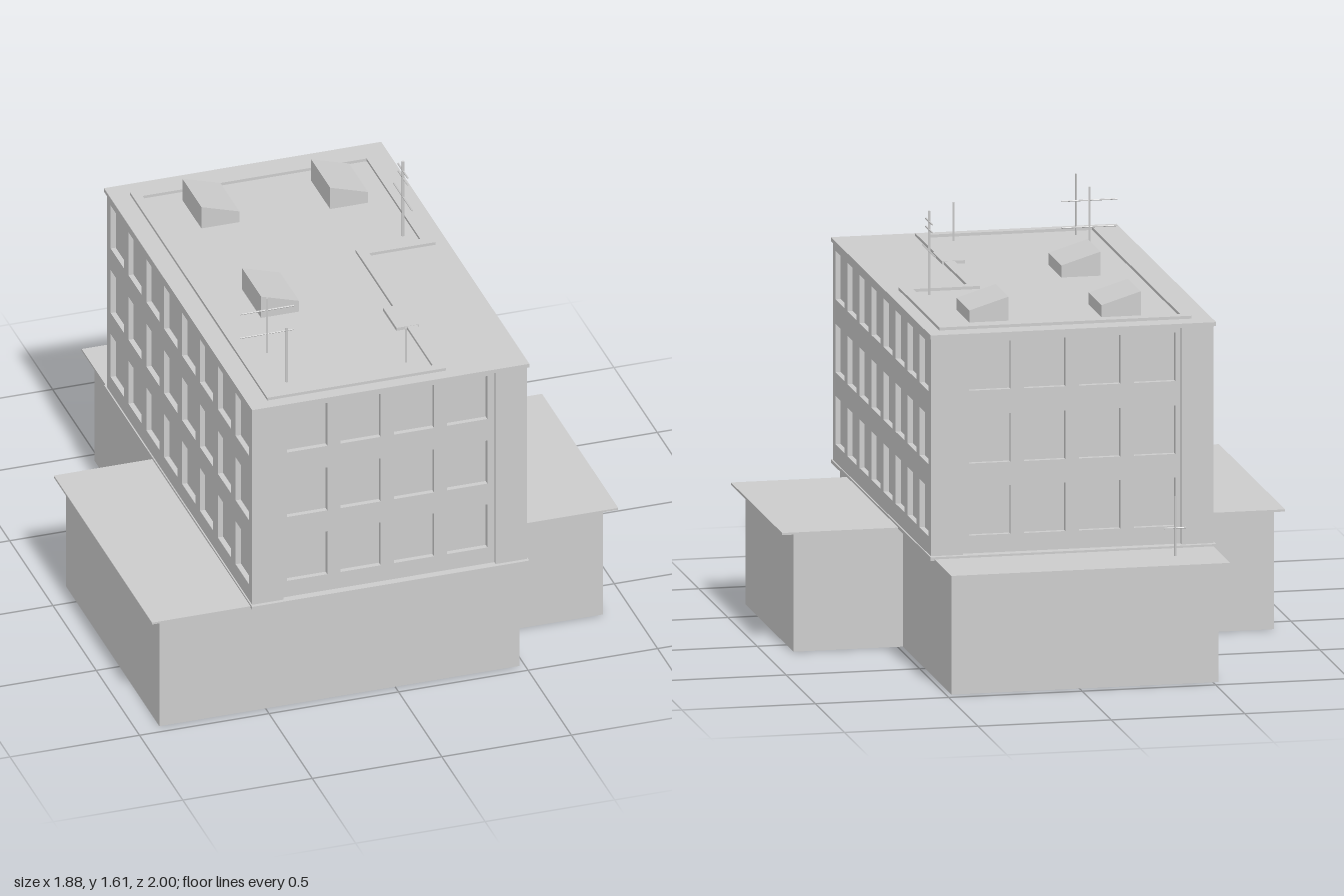
import * as THREE from 'three';

const mat = new THREE.MeshStandardMaterial({ color: 0xcccccc, flatShading: true });
const ROOF = 1.295, DECK = 0.455;

export function createModel() {
  const root = new THREE.Group();

  const add = (name, geometry) => {
    const mesh = new THREE.Mesh(geometry, mat);
    mesh.name = name;
    root.add(mesh);
    return mesh;
  };
  // Box given by its extents
  const box = (name, x0, x1, y0, y1, z0, z1) => {
    const m = add(name, new THREE.BoxGeometry(x1 - x0, y1 - y0, z1 - z0));
    m.position.set((x0 + x1) / 2, (y0 + y1) / 2, (z0 + z1) / 2);
    return m;
  };
  // Plan outline of [x, z] points raised from y0 to y1
  const flip = (pts) => pts.map(([x, z]) => new THREE.Vector2(x, -z));
  const slab = (name, pts, y0, y1, hole) => {
    const shape = new THREE.Shape(flip(pts));
    if (hole) shape.holes.push(new THREE.Path(flip(hole)));
    const g = new THREE.ExtrudeGeometry(shape, { depth: y1 - y0, bevelEnabled: false });
    return add(name, g.rotateX(-Math.PI / 2).translate(0, y0, 0));
  };

  // Podium with two side wings and a back wing
  slab('podiumWalls', [
    [-0.91, 0.96], [0.48, 0.96], [0.48, 0.7], [0.89, 0.7], [0.89, -0.12], [0.48, -0.12],
    [0.48, -0.955], [-0.52, -0.955], [-0.52, -0.12], [-0.91, -0.12]], 0, 0.447);
  slab('podiumRoof', [
    [-0.945, 0.98], [0.49, 0.98], [0.49, 0.725], [0.94, 0.725], [0.94, -0.155], [0.49, -0.155],
    [0.49, -1], [-0.555, -1], [-0.555, -0.155], [-0.945, -0.155]], 0.447, DECK);

  // Tower core, base course and cornice
  box('towerCore', -0.54, 0.48, DECK, 1.28, -0.655, 0.95);
  box('baseCourse', -0.565, 0.505, 0.45, 0.463, -0.712, 1);
  box('cornice', -0.565, 0.505, 1.28, ROOF, -0.712, 1);

  // Window walls: a panel with a grid of openings in front of the core
  const rows = [0.53, 0.8, 1.073];
  const windowWall = (name, u0, u1, first, pitch, count, width) => {
    const rect = (a, b, c, d) => [[a, c], [b, c], [b, d], [a, d]].map((p) => new THREE.Vector2(...p));
    const shape = new THREE.Shape(rect(u0, u1, DECK, 1.282));
    for (const y of rows) {
      for (let i = 0; i < count; i++) {
        const a = first + i * pitch;
        shape.holes.push(new THREE.Path(rect(a, a + width, y, y + 0.182)));
      }
    }
    return add(name, new THREE.ExtrudeGeometry(shape, { depth: 0.02, bevelEnabled: false }));
  };
  windowWall('frontWall', -0.44, 0.38, -0.42, 0.206, 4, 0.155).position.z = 0.95;
  const back = windowWall('backWall', -0.38, 0.44, -0.353, 0.206, 4, 0.155);
  back.rotation.y = Math.PI;
  back.position.z = -0.655;
  const sideA = windowWall('leftWall', -0.985, 0.692, -0.947, 0.2063, 8, 0.153);
  sideA.rotation.y = Math.PI / 2;
  sideA.position.x = 0.48;
  const sideB = windowWall('rightWall', -0.692, 0.985, -0.65, 0.2063, 8, 0.153);
  sideB.rotation.y = -Math.PI / 2;
  sideB.position.x = -0.54;

  // Plain corner piers beside the front and back window walls
  for (const [x0, x1] of [[-0.54, -0.44], [0.38, 0.48]]) {
    box('frontPier', x0, x1, DECK, 1.282, 0.95, 0.985);
    box('backPier', x0, x1, DECK, 1.282, -0.692, -0.655);
  }

  // Low curb following the stepped roof terrace
  slab('roofCurb',
    [[-0.49, 0.95], [0.2, 0.95], [0.2, 0.065], [0.455, 0.065], [0.455, -0.635], [-0.49, -0.635]],
    ROOF - 0.003, 1.306,
    [[-0.455, 0.915], [0.16, 0.915], [0.16, 0.025], [0.41, 0.025], [0.41, -0.595], [-0.455, -0.595]]);
  box('curbStep', 0.12, 0.206, ROOF - 0.003, 1.307, 0.46, 0.617);

  // Lean-to roof hatches, high side towards -x
  for (const [x, z] of [[-0.32, -0.43], [0.172, -0.415], [-0.32, 0.26]]) {
    const profile = new THREE.Shape([[0, ROOF - 0.003], [0.147, ROOF - 0.003], [0.147, 1.34], [0, 1.385]]
      .map((p) => new THREE.Vector2(...p)));
    const g = new THREE.ExtrudeGeometry(profile, { depth: 0.22, bevelEnabled: false });
    add('roofHatch', g.translate(0, 0, -0.11)).position.set(x, 0, z);
  }

  // Antenna masts with crossbars [height, half length], along x or z
  const mast = (x, z, y0, y1, r, axis = 'x', bars = []) => {
    const pole = add('antennaMast', new THREE.CylinderGeometry(r, r, y1 - y0, 6));
    pole.position.set(x, (y0 + y1) / 2, z);
    for (const [y, half] of bars) {
      const bar = add('antennaBar', new THREE.CylinderGeometry(0.003, 0.003, half * 2, 6));
      if (axis === 'x') bar.rotation.z = Math.PI / 2;
      else bar.rotation.x = Math.PI / 2;
      bar.position.set(x, y, z);
    }
  };
  mast(0.363, -0.035, ROOF, 1.61, 0.005, 'z', [[1.57, 0.057], [1.54, 0.057], [1.46, 0.107]]);
  mast(-0.38, 0.617, ROOF, 1.525, 0.004, 'x', [[1.475, 0.104], [1.375, 0.104]]);
  mast(-0.38, 0.845, ROOF, 1.525, 0.004);
  mast(0.08, 0.845, ROOF, 1.44, 0.004);
  mast(-0.383, -0.843, DECK, 0.68, 0.004, 'x', [[0.56, 0.04]]);

  return root;
}
